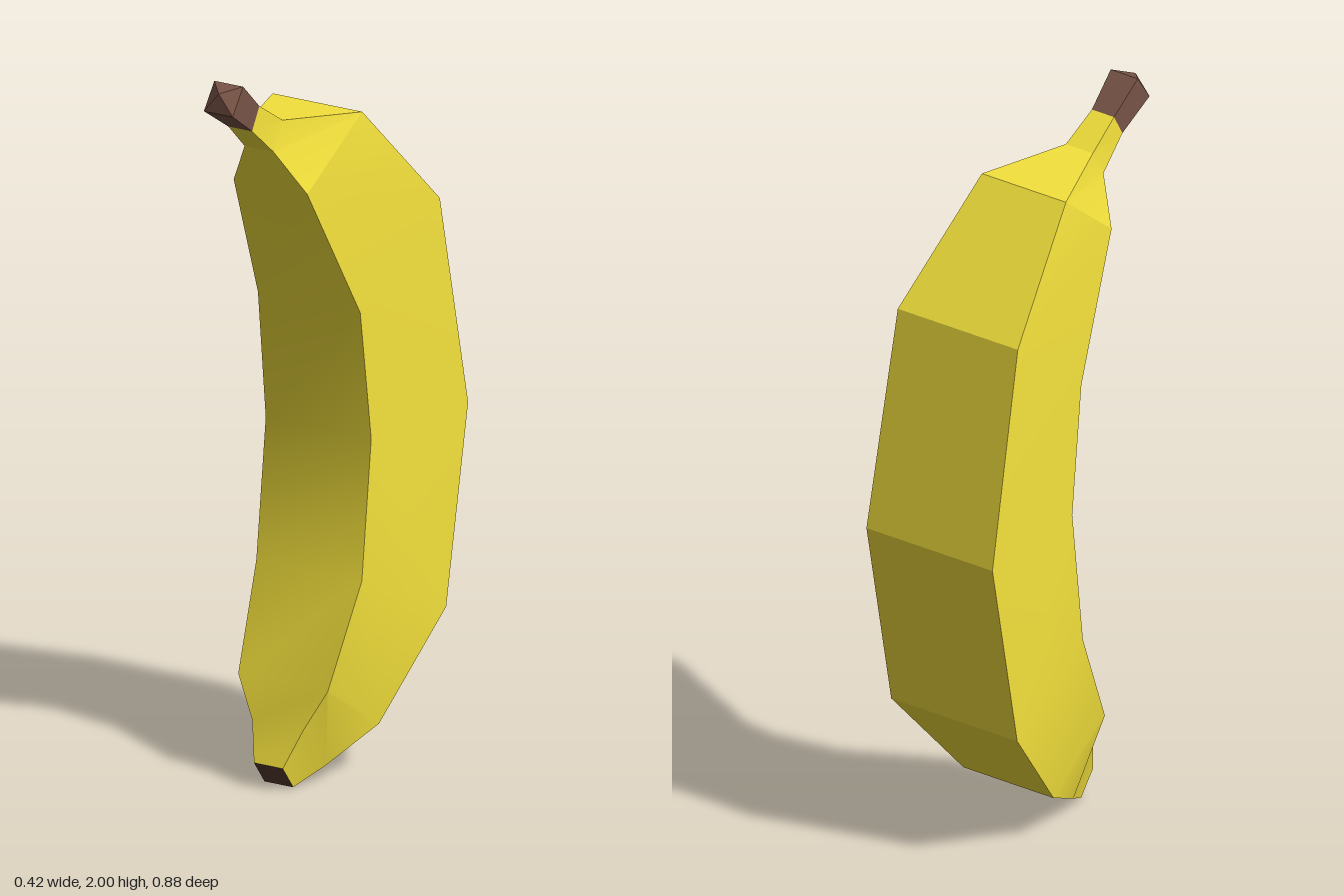
import * as THREE from 'three';
import { toCreasedNormals } from 'three/addons/utils/BufferGeometryUtils.js';

// Section: [outer z, outer y, outer half-width, inner z, inner y, inner half-width]
const TIP = [0.15, 0, 0.045, 0.2, 0.065, 0.045];
const NECK = [0.3, 1.92, 0.037, 0.335, 1.86, 0.037];
const BODY = [
  TIP,
  [0.06, 0.045, 0.09, 0.155, 0.165, 0.08],
  [-0.1, 0.125, 0.15, 0.13, 0.275, 0.14],
  [-0.33, 0.395, 0.21, 0.005, 0.55, 0.165],
  [-0.435, 0.93, 0.21, -0.04, 0.93, 0.165],
  [-0.315, 1.525, 0.2, 0.005, 1.29, 0.16],
  [-0.035, 1.83, 0.14, 0.19, 1.66, 0.115],
  [0.2, 1.855, 0.045, 0.245, 1.78, 0.045],
  NECK,
];
const STEM = [NECK, [0.39, 2, 0.045, 0.44, 1.93, 0.045]];

// Four corners of a section, counter-clockwise seen from the stem end
const corners = ([oz, oy, ow, iz, iy, iw]) => [
  [ow, oy, oz], [-ow, oy, oz], [-iw, iy, iz], [iw, iy, iz],
];

// Quads joining successive sections
function loft(sections) {
  const out = [];
  for (let i = 0; i < sections.length - 1; i++) {
    const lo = corners(sections[i]);
    const hi = corners(sections[i + 1]);
    for (let k = 0; k < 4; k++) {
      const n = (k + 1) % 4;
      // mirror the diagonal on one side so left and right match
      if (k === 3) out.push(lo[k], lo[n], hi[k], lo[n], hi[n], hi[k]);
      else out.push(lo[k], lo[n], hi[n], lo[k], hi[n], hi[k]);
    }
  }
  return out;
}

function makeMesh(name, points, color, crease) {
  const geometry = new THREE.BufferGeometry();
  geometry.setAttribute('position', new THREE.Float32BufferAttribute(points.flat(), 3));
  const mesh = new THREE.Mesh(
    toCreasedNormals(geometry, crease),
    new THREE.MeshStandardMaterial({ color }),
  );
  mesh.name = name;
  return mesh;
}

export function createModel() {
  const group = new THREE.Group();
  group.name = 'banana';

  // Curved four-sided fruit
  group.add(makeMesh('peel', loft(BODY), 0xf5e23c, 0.35));

  // Stem with a low pyramid on its end
  const stem = loft(STEM);
  const end = corners(STEM[1]);
  const apex = [0, 1.985, 0.438];
  for (let k = 0; k < 4; k++) stem.push(end[k], end[(k + 1) % 4], apex);
  group.add(makeMesh('stem', stem, 0x7a5548, 0.1));

  // Dark cap closing the lower end
  const [a, b, c, d] = corners(TIP);
  group.add(makeMesh('blossomTip', [a, d, c, a, c, b], 0x5a3d33, 0.1));

  return group;
}
